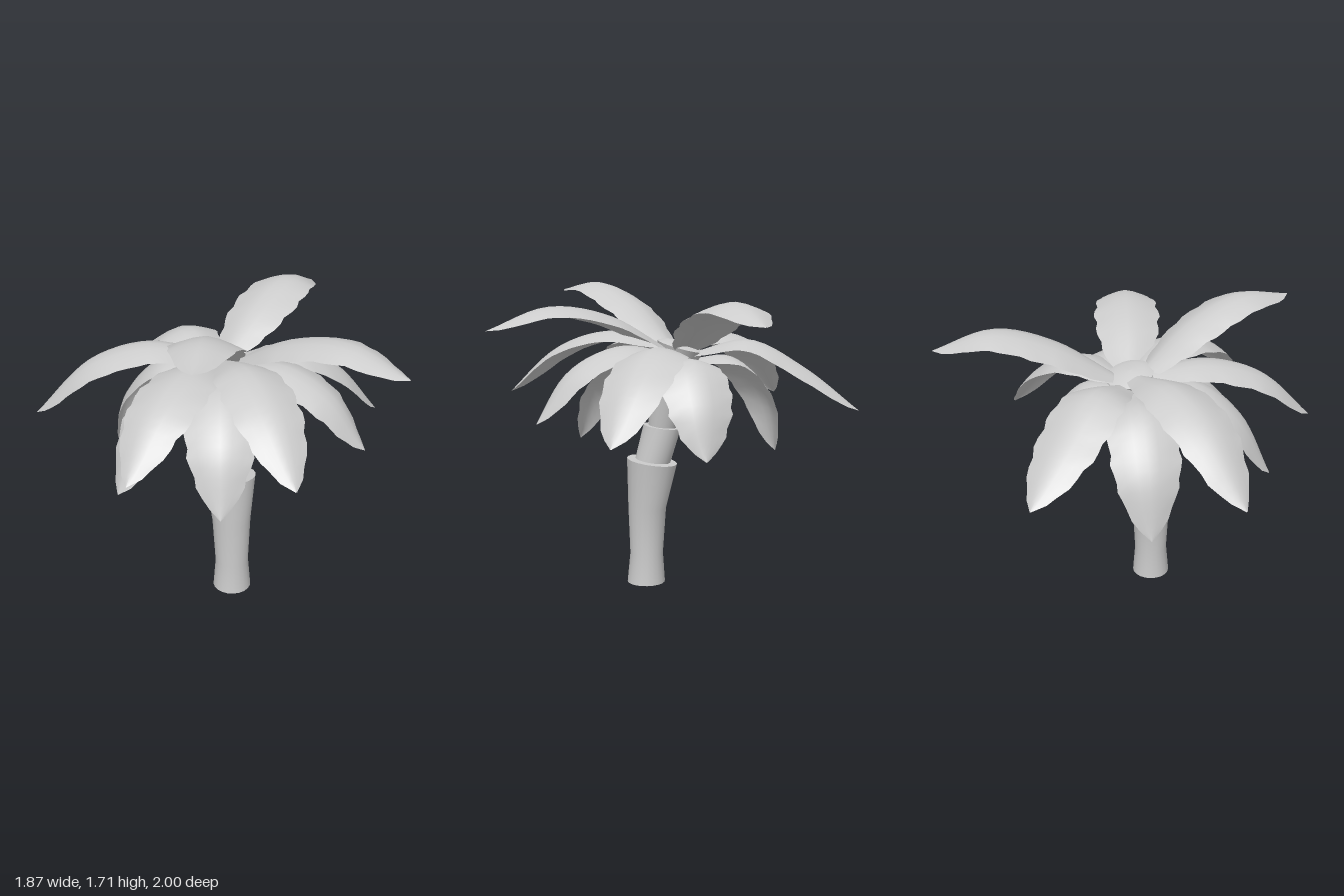
import * as THREE from 'three';

const material = new THREE.MeshStandardMaterial({ color: 0xcccccc, side: THREE.DoubleSide });

// Surface through rows of points; closed rows wrap round
function loft(rows, closed) {
  const n = rows[0].length, index = [], pos = [];
  rows.forEach(row => row.forEach(p => pos.push(p.x, p.y, p.z)));
  for (let i = 0; i < rows.length - 1; i++) {
    for (let j = 0; j < (closed ? n : n - 1); j++) {
      const k = (j + 1) % n;
      const a = i * n + j, b = i * n + k, c = a + n, d = b + n;
      index.push(a, c, b, b, c, d);
    }
  }
  const g = new THREE.BufferGeometry();
  g.setAttribute('position', new THREE.Float32BufferAttribute(pos, 3));
  g.setIndex(index);
  g.computeVertexNormals();
  return g;
}

// Horizontal ring; slope raises its front edge
function ring([x, y, z, r, slope]) {
  return Array.from({ length: 20 }, (_, i) => {
    const a = i / 20 * Math.PI * 2, dz = Math.sin(a) * r;
    return new THREE.Vector3(x + Math.cos(a) * r, y + dz * slope, z + dz);
  });
}

// Trunk piece with a sharp rim and a slightly domed top
function trunkPiece(name, sections, dome = 0) {
  const [x, y, z, r, s] = sections[sections.length - 1];
  const rows = sections.map(ring);
  rows.push(ring([x, y, z, r, s]));
  rows.push(ring([x, y + dome * 0.8, z, r * 0.6, s]), ring([x, y + dome, z, 0.001, s]));
  const mesh = new THREE.Mesh(loft(rows, true), material);
  mesh.name = name;
  return mesh;
}

// Half width of a frond from base to tip
const outline = [[0, 0.07], [0.1, 0.12], [0.25, 0.165], [0.45, 0.185], [0.65, 0.17], [0.82, 0.125], [0.93, 0.07], [1, 0.003]];
function halfWidth(t) {
  let i = 1;
  while (i < outline.length - 1 && outline[i][0] < t) i++;
  const [t0, w0] = outline[i - 1], [t1, w1] = outline[i];
  return w0 + (w1 - w0) * (t - t0) / (t1 - t0);
}

// Arched frond with a ragged edge, from the crown to its tip
function frond([tipX, tipZ, f1, f2, heights]) {
  const cz = -0.03;
  const out = new THREE.Vector3(tipX, 0, tipZ - cz);
  const reach = out.length();
  out.normalize();
  const side = new THREE.Vector3(out.z, 0, -out.x);
  const start = 0.08;
  const curve = new THREE.CatmullRomCurve3([0, f1, f2, 1].map((f, i) => {
    const d = start + (reach - start) * f;
    return new THREE.Vector3(out.x * d, heights[i], cz + out.z * d);
  }));
  const rows = [], steps = 18;
  for (let i = 0; i <= steps; i++) {
    const t = i / steps;
    const p = curve.getPointAt(t);
    const up = new THREE.Vector3().crossVectors(curve.getTangentAt(t), side).normalize();
    const row = [];
    for (let j = -3; j <= 3; j++) {
      const u = j / 3;
      const ragged = Math.abs(j) === 3 ? 1 + 0.05 * Math.sin(i * 2.1 + j + tipX * 9) : 1;
      const w = halfWidth(t) * u * ragged;
      row.push(p.clone().addScaledVector(side, w)
        .addScaledVector(up, -0.32 * halfWidth(t) * Math.pow(Math.abs(u), 1.5)));
    }
    rows.push(row);
  }
  const mesh = new THREE.Mesh(loft(rows, false), material);
  mesh.name = 'frond';
  return mesh;
}

export function createModel() {
  const model = new THREE.Group();
  model.name = 'palmTree';

  // Trunk: overlapping flared pieces leaning backwards; x, y, z, radius, slope
  const trunk = new THREE.Group();
  trunk.name = 'trunk';
  trunk.add(
    trunkPiece('trunkBase', [
      [-0.01, 0, 0.175, 0.108, 0], [-0.01, 0.17, 0.172, 0.094, 0],
      [-0.012, 0.44, 0.168, 0.108, 0.06], [-0.008, 0.71, 0.137, 0.142, 0.14]]),
    trunkPiece('trunkLower', [
      [-0.027, 0.68, 0.145, 0.1, 0.1], [-0.04, 0.905, 0.085, 0.106, 0.12]]),
    trunkPiece('trunkMiddle', [
      [-0.045, 0.88, 0.09, 0.077, 0.15], [-0.025, 1.13, 0.045, 0.1, 0.2]]),
    trunkPiece('trunkCrown', [
      [-0.025, 1.1, 0.04, 0.078, 0.2], [-0.01, 1.25, 0, 0.09, 0.25],
      [0, 1.36, -0.03, 0.128, 0.28]], 0.025));
  model.add(trunk);

  // Fronds: tip x, tip z, two path fractions, heights along the path
  const fronds = new THREE.Group();
  fronds.name = 'fronds';
  [
    [-0.10, -1.0, 0.33, 0.67, [1.33, 1.40, 1.25, 1.02]],
    [0.85, -0.63, 0.33, 0.67, [1.36, 1.54, 1.61, 1.50]],
    [0.93, 0.08, 0.36, 0.70, [1.33, 1.37, 1.23, 0.93]],
    [0.64, 0.83, 0.33, 0.67, [1.35, 1.53, 1.58, 1.46]],
    [-0.48, 0.82, 0.30, 0.64, [1.37, 1.59, 1.71, 1.67]],
    [-0.04, 1.0, 0.33, 0.67, [1.37, 1.44, 1.35, 1.08]],
    [-0.94, -0.42, 0.33, 0.67, [1.38, 1.43, 1.33, 1.02]],
    [-0.75, 0.64, 0.36, 0.70, [1.37, 1.42, 1.33, 1.07]],
    [-0.70, 0.30, 0.40, 0.75, [1.31, 1.33, 1.16, 0.83]],
    [-0.46, -0.50, 0.45, 0.85, [1.29, 1.29, 1.06, 0.72]],
    [-0.28, 0.66, 0.42, 0.80, [1.30, 1.30, 1.11, 0.78]],
    [0.46, -0.28, 0.42, 0.82, [1.30, 1.29, 1.09, 0.80]],
    [0.56, 0.60, 0.38, 0.74, [1.33, 1.37, 1.25, 0.98]],
  ].forEach(f => fronds.add(frond(f)));
  model.add(fronds);
  return model;
}
